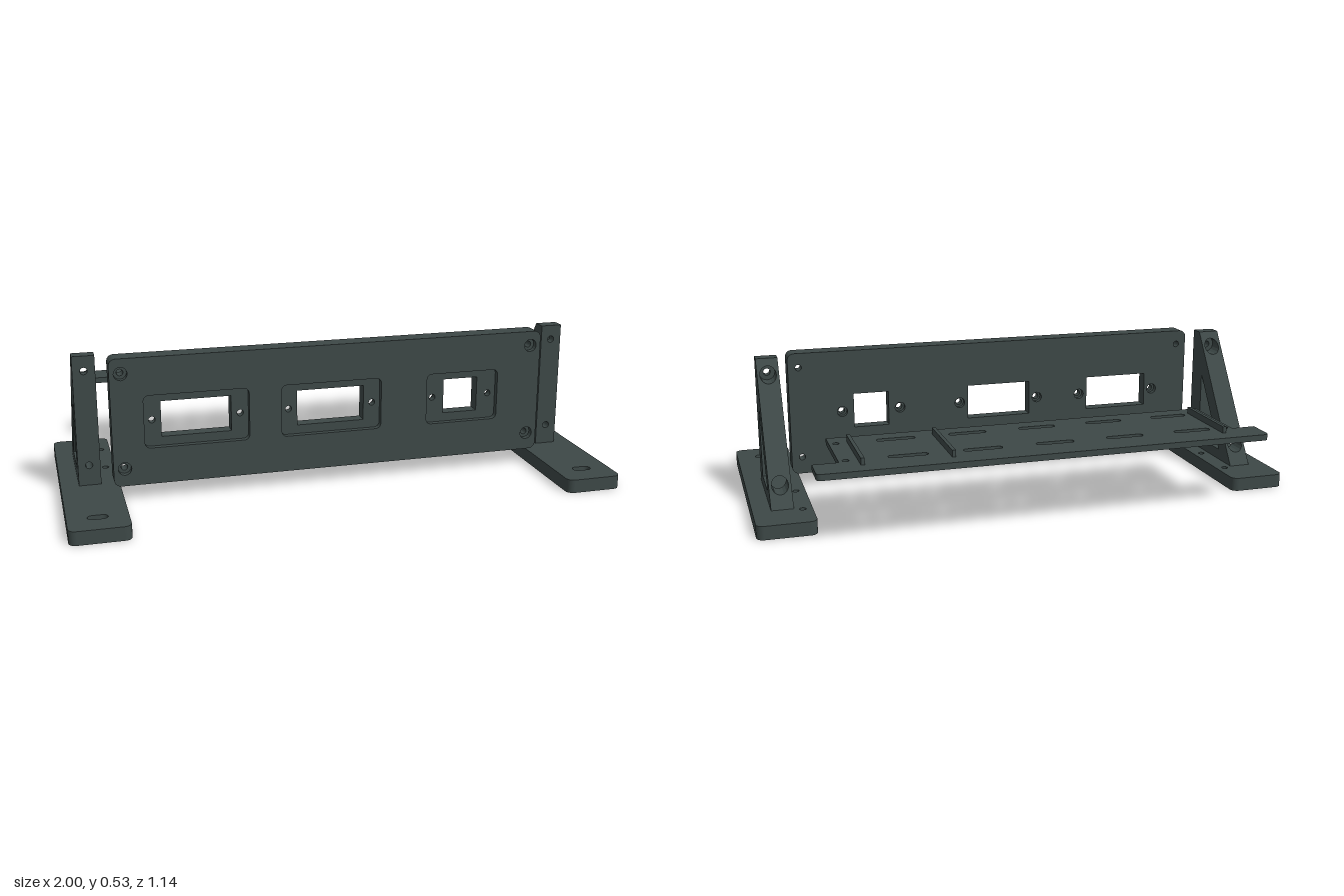
import * as THREE from 'three';

const plastic = new THREE.MeshStandardMaterial({ color: 0x3d4847 });
plastic.name = 'dark slate plastic';

// Closed outline with rounded corners, used for shapes and holes
function roundRect(path, x0, y0, x1, y1, r) {
  path.moveTo(x0 + r, y0);
  path.lineTo(x1 - r, y0);
  path.absarc(x1 - r, y0 + r, r, -Math.PI / 2, 0, false);
  path.lineTo(x1, y1 - r);
  path.absarc(x1 - r, y1 - r, r, 0, Math.PI / 2, false);
  path.lineTo(x0 + r, y1);
  path.absarc(x0 + r, y1 - r, r, Math.PI / 2, Math.PI, false);
  path.lineTo(x0, y0 + r);
  path.absarc(x0 + r, y0 + r, r, Math.PI, Math.PI * 1.5, false);
  return path;
}
function rect(path, x0, y0, x1, y1) {
  path.moveTo(x0, y0);
  path.lineTo(x1, y0);
  path.lineTo(x1, y1);
  path.lineTo(x0, y1);
  path.closePath();
  return path;
}
const hole = (x, y, r) => new THREE.Path().absarc(x, y, r, 0, Math.PI * 2, false);
const slot = (x, y, w, h) =>
  roundRect(new THREE.Path(), x - w / 2, y - h / 2, x + w / 2, y + h / 2, h / 2 - 0.0005);

function addMesh(group, name, geometry) {
  const mesh = new THREE.Mesh(geometry, plastic);
  mesh.name = name;
  group.add(mesh);
  return mesh;
}
// Slab standing in the xy plane between z0 and z1
function slab(shape, holes, z0, z1) {
  shape.holes.push(...holes);
  return new THREE.ExtrudeGeometry(shape, { depth: z1 - z0, bevelEnabled: false, curveSegments: 8 })
    .translate(0, 0, z0);
}
// Flat slab whose outline is drawn in x and z, between y0 and y1
function flat(shape, holes, y0, y1) {
  return slab(shape, holes, 0, y1 - y0).rotateX(Math.PI / 2).translate(0, y1, 0);
}
// Push the back and front caps of a slab onto surfaces z = back(y), z = front(y)
function skew(geometry, back, front) {
  const p = geometry.attributes.position;
  for (let i = 0; i < p.count; i++) {
    const y = p.getY(i);
    p.setZ(i, p.getZ(i) < 0.5 ? back(y) : front(y));
  }
  geometry.computeVertexNormals();
  return geometry;
}

// Front panel in three layers: recesses, windows, rear counterbores
function makePanel() {
  const panel = new THREE.Group();
  panel.name = 'frontPanel';
  const bays = [[-0.70, -0.32], [-0.20, 0.18], [0.36, 0.645]];
  const outline = () => roundRect(new THREE.Shape(), -0.815, 0.06, 0.815, 0.53, 0.025);
  const corners = (r) => [-0.775, 0.775].flatMap((x) => [0.125, 0.475].map((y) => hole(x, y, r)));
  const windows = (r) => bays.flatMap(([a, b]) => {
    const inset = b - a > 0.3 ? 0.063 : 0.075;
    return [
      rect(new THREE.Path(), a + inset, 0.228, b - inset, 0.36),
      hole(a + 0.03, 0.293, r), hole(b - 0.03, 0.293, r),
    ];
  });
  const recesses = bays.map(([a, b]) => roundRect(new THREE.Path(), a, 0.195, b, 0.39, 0.02));
  addMesh(panel, 'panelFace', slab(outline(), [...recesses, ...corners(0.024)], 0.2, 0.222));
  addMesh(panel, 'panelCore', slab(outline(), [...windows(0.012), ...corners(0.012)], 0.17, 0.2));
  addMesh(panel, 'panelBack', slab(outline(), [...windows(0.02), ...corners(0.012)], 0.15, 0.17));
  return panel;
}

// Foot plate with a triangular bracket, s = +1 for left and -1 for right
function makeSupport(s) {
  const support = new THREE.Group();
  support.name = s > 0 ? 'leftSupport' : 'rightSupport';
  const c = s * 0.895, x0 = c - 0.04, x1 = c + 0.04;

  addMesh(support, 'foot', flat(
    roundRect(new THREE.Shape(), c - 0.105, -0.37, c + 0.105, 0.567, 0.027),
    [slot(c, 0.46, 0.07, 0.036), hole(s * 0.825, -0.23, 0.012), hole(s * 0.825, -0.025, 0.012)],
    0, 0.05));

  const slope = (y) => -0.22 + (y - 0.05) * (0.32 / 0.48);
  const bar = (y0, y1) => rect(new THREE.Shape(), x0, y0, x1, y1);
  addMesh(support, 'bracketPost', slab(bar(0.05, 0.355), [hole(c, 0.125, 0.013)], 0.065, 0.15));
  addMesh(support, 'bracketBrace', skew(
    slab(bar(0.05, 0.355), [hole(c, 0.125, 0.03)], 0, 1), slope, (y) => slope(y) + 0.078));
  addMesh(support, 'bracketHead', skew(
    slab(bar(0.355, 0.53), [hole(c, 0.475, 0.03)], 0, 1), slope, () => 0.115));
  addMesh(support, 'bracketHeadFront', slab(bar(0.355, 0.53), [hole(c, 0.475, 0.013)], 0.115, 0.15));
  addMesh(support, 'bracketSill', new THREE.BoxGeometry(0.08, 0.04, 0.29)).position.set(c, 0.07, 0);
  return support;
}

// Slotted shelf with thin upright ribs
function makeShelf() {
  const shelf = new THREE.Group();
  shelf.name = 'shelf';
  const r = 0.02, shape = new THREE.Shape();
  shape.moveTo(-0.725, -0.157);
  shape.lineTo(-0.725, -0.457);
  shape.lineTo(-0.815, -0.457);
  shape.lineTo(-0.815, -0.57 + r);
  shape.quadraticCurveTo(-0.815, -0.57, -0.815 + r, -0.57);
  shape.lineTo(0.815 - r, -0.57);
  shape.quadraticCurveTo(0.815, -0.57, 0.815, -0.57 + r);
  shape.lineTo(0.815, -0.457);
  shape.lineTo(0.725, -0.457);
  shape.lineTo(0.725, -0.157);
  shape.closePath();
  const holes = [];
  for (const z of [-0.442, -0.233]) {
    for (let i = 0; i < 5; i++) holes.push(slot(-0.57 + i * 0.264, z, 0.14, 0.027));
    holes.push(hole(-0.703, z, 0.012), hole(0.7, z, 0.012));
  }
  addMesh(shelf, 'shelfPlate', flat(shape, holes, 0.258, 0.28));
  for (const x of [-0.668, 0.342, 0.653]) {
    addMesh(shelf, 'shelfRib', new THREE.BoxGeometry(0.013, 0.026, 0.295)).position.set(x, 0.291, -0.361);
  }
  return shelf;
}

export function createModel() {
  const model = new THREE.Group();
  model.name = 'rackMount';
  model.add(makePanel(), makeSupport(1), makeSupport(-1), makeShelf());
  return model;
}
